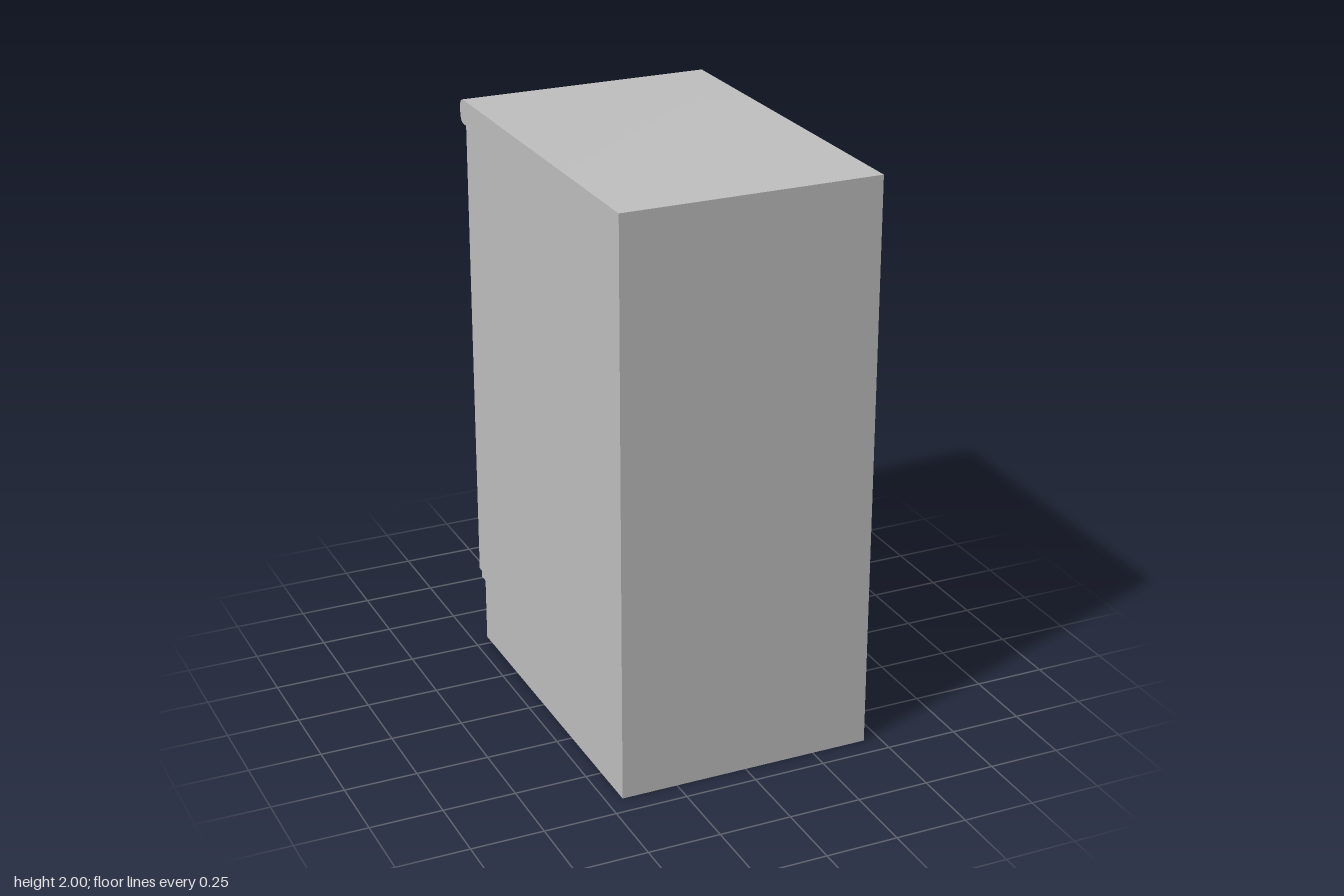
import * as THREE from 'three';
import { toCreasedNormals } from 'three/addons/utils/BufferGeometryUtils.js';

const WIDTH = 0.89;

export function createModel() {
  const cabinet = new THREE.Group();
  cabinet.name = 'cabinet';
  const grey = new THREE.MeshStandardMaterial({ color: 0xc0c0c0 });
  grey.name = 'light grey';

  const add = (name, geometry, x = 0, y = 0, z = 0) => {
    const mesh = new THREE.Mesh(geometry, grey);
    mesh.name = name;
    mesh.position.set(x, y, z);
    cabinet.add(mesh);
    return mesh;
  };

  // Carcass, toe kick and rounded worktop share one side profile; its x runs towards the door (-z).
  const side = new THREE.Shape();
  side.moveTo(-0.675, 0);
  side.lineTo(0.547, 0);
  side.lineTo(0.547, 0.228);
  side.lineTo(0.583, 0.228);
  side.lineTo(0.583, 1.915);
  side.lineTo(0.627, 1.915);
  side.absarc(0.627, 1.945, 0.03, -Math.PI / 2, 0, false);
  side.lineTo(0.657, 1.97);
  side.absarc(0.627, 1.97, 0.03, 0, Math.PI / 2, false);
  side.lineTo(-0.675, 2);
  side.closePath();
  const body = new THREE.ExtrudeGeometry(side, { depth: WIDTH, bevelEnabled: false, curveSegments: 6 });
  body.translate(0, 0, -WIDTH / 2).rotateY(Math.PI / 2);
  add('carcassAndWorktop', toCreasedNormals(body, 0.6));

  // Inset spacer that leaves a shadow gap behind the door
  add('doorSpacer', new THREE.BoxGeometry(0.85, 1.65, 0.012), 0, 1.0725, -0.587);

  // Door frame with a rectangular opening
  const rect = (path, w, y0, y1) => {
    path.moveTo(-w, y0);
    path.lineTo(w, y0);
    path.lineTo(w, y1);
    path.lineTo(-w, y1);
    path.closePath();
    return path;
  };
  const frame = rect(new THREE.Shape(), 0.435, 0.238, 1.905);
  frame.holes.push(rect(new THREE.Path(), 0.313, 0.36, 1.785));
  add('doorFrame', new THREE.ExtrudeGeometry(frame, { depth: 0.041, bevelEnabled: false }), 0, 0, -0.631);

  // Recessed door panel
  add('doorPanel', new THREE.BoxGeometry(0.64, 1.44, 0.008), 0, 1.0725, -0.596);

  // Turned knob
  const profile = [
    [0, -0.03], [0.012, -0.03], [0.012, 0], [0.024, 0], [0.026, 0.005], [0.022, 0.009], [0.014, 0.012],
    [0.013, 0.022], [0.018, 0.028], [0.027, 0.032], [0.029, 0.037], [0.025, 0.042], [0.014, 0.044], [0, 0.044],
  ].map(([r, h]) => new THREE.Vector2(r, h));
  const knob = new THREE.LatheGeometry(profile, 24).rotateX(-Math.PI / 2);
  add('knob', toCreasedNormals(knob, 0.8), -0.311, 1.728, -0.631);

  return cabinet;
}
